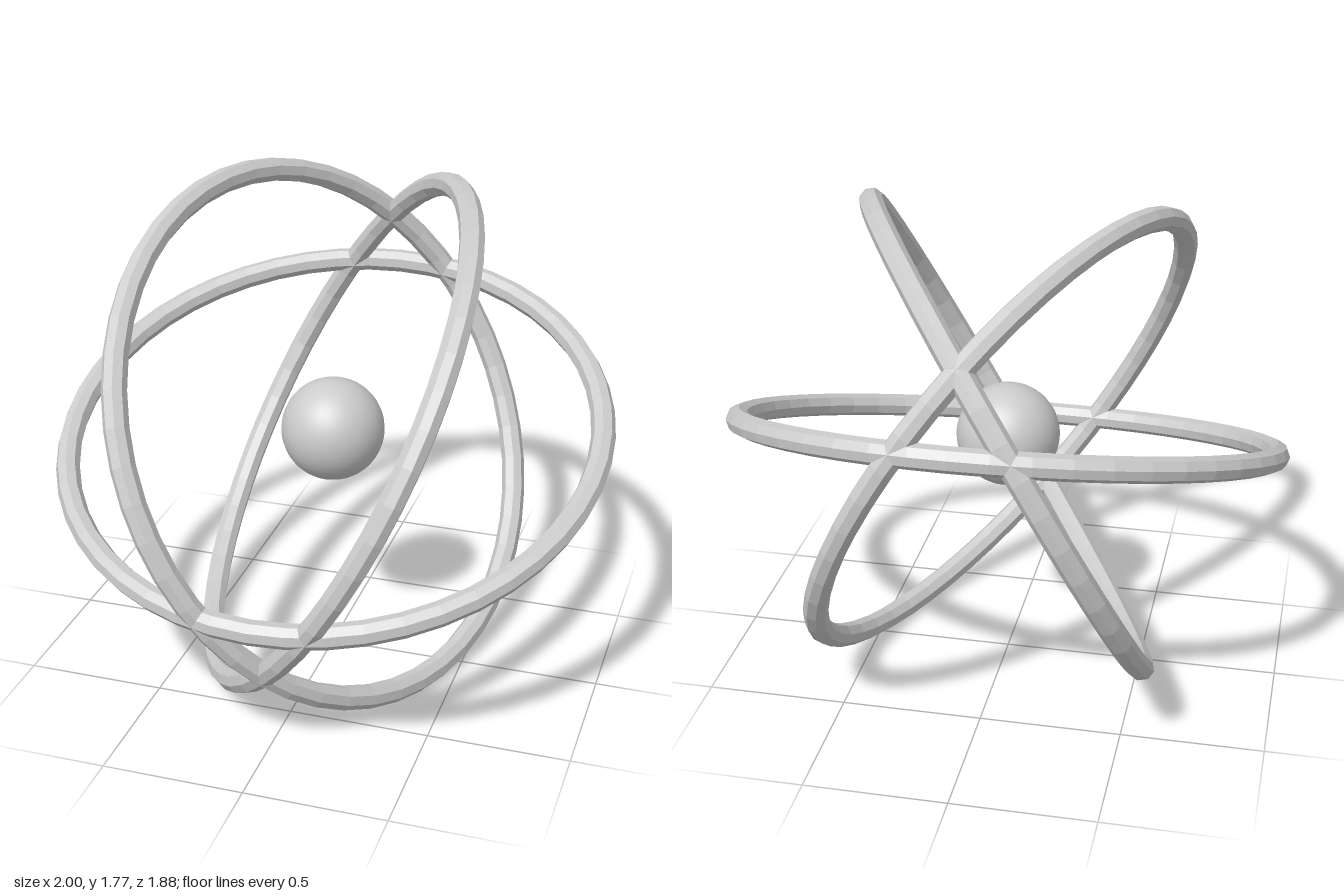
import * as THREE from 'three';

const CENTER_Y = 0.89;
const RING_RADIUS = 0.957;
const TUBE_RADIUS = 0.043;
const TILT = THREE.MathUtils.degToRad(20);

export function createModel() {
  const model = new THREE.Group();
  model.name = 'atom';

  // Central ball
  const nucleus = new THREE.Mesh(
    new THREE.SphereGeometry(0.185, 32, 24),
    new THREE.MeshStandardMaterial({ color: 0xcccccc })
  );
  nucleus.name = 'nucleus';
  nucleus.position.y = CENTER_Y;
  model.add(nucleus);

  // Three identical orbits: laid flat, raised at the back, then fanned about z
  const orbitGeometry = new THREE.TorusGeometry(RING_RADIUS, TUBE_RADIUS, 8, 48);
  orbitGeometry.rotateX(TILT - Math.PI / 2);
  const orbitMaterial = new THREE.MeshStandardMaterial({ color: 0xcccccc, flatShading: true });
  const names = ['orbitRight', 'orbitLevel', 'orbitLeft'];
  names.forEach((name, i) => {
    const orbit = new THREE.Mesh(orbitGeometry, orbitMaterial);
    orbit.name = name;
    orbit.position.y = CENTER_Y;
    orbit.rotation.z = (i - 1) * Math.PI / 3;
    model.add(orbit);
  });

  return model;
}
